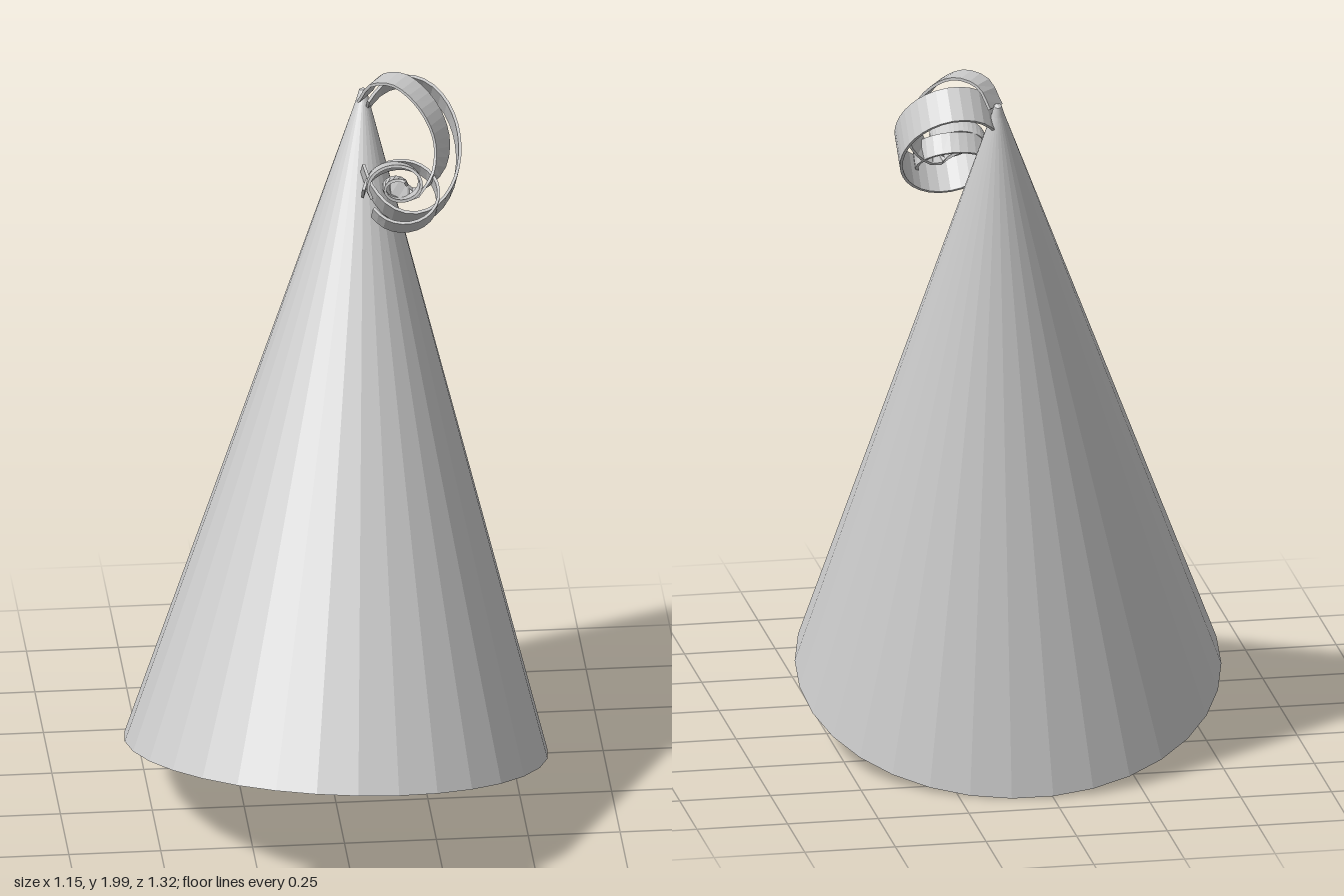
import * as THREE from 'three';

const V = (x, y, z) => new THREE.Vector3(x, y, z);
const material = new THREE.MeshStandardMaterial({ color: 0xcccccc, flatShading: true, side: THREE.DoubleSide });

// Flat strip swept along a smooth path, its width lying along the given axis
function ribbon(name, points, axis, width, steps, thickness = 0.008) {
  const curve = new THREE.CatmullRomCurve3(points);
  const positions = [], index = [];
  for (let i = 0; i <= steps; i++) {
    const p = curve.getPointAt(i / steps), t = curve.getTangentAt(i / steps);
    const side = axis.clone().addScaledVector(t, -axis.dot(t)).normalize();
    const normal = side.clone().cross(t);
    for (const [a, b] of [[1, 1], [-1, 1], [-1, -1], [1, -1]]) {
      const q = p.clone().addScaledVector(side, a * width / 2).addScaledVector(normal, b * thickness / 2);
      positions.push(q.x, q.y, q.z);
    }
  }
  for (let i = 0; i < steps; i++) {
    for (let j = 0; j < 4; j++) {
      const a = i * 4 + j, b = i * 4 + (j + 1) % 4;
      index.push(a, a + 4, b + 4, a, b + 4, b);
    }
  }
  const e = steps * 4;
  index.push(0, 1, 2, 0, 2, 3, e, e + 2, e + 1, e, e + 3, e + 2);
  const geometry = new THREE.BufferGeometry();
  geometry.setAttribute('position', new THREE.Float32BufferAttribute(positions, 3));
  geometry.setIndex(index);
  geometry.computeVertexNormals();
  const mesh = new THREE.Mesh(geometry, material);
  mesh.name = name;
  return mesh;
}

// Points of an elliptical spiral around an axis in the yz plane, angles in degrees
function spiral(center, axis, from, to, rx, ry, shrink, advance, count) {
  const up = V(0, axis.z, -axis.y);
  return Array.from({ length: count + 1 }, (_, i) => {
    const k = i / count, a = THREE.MathUtils.degToRad(from + (to - from) * k);
    const s = 1 + (shrink - 1) * k;
    return center.clone()
      .addScaledVector(axis, advance * k)
      .addScaledVector(up, ry * s * Math.sin(a))
      .add(V(rx * s * Math.cos(a), 0, 0));
  });
}

export function createModel() {
  const group = new THREE.Group();
  group.name = 'partyHat';

  // Hollow cone with a thin rim and a blunt tip, leaning back and to one side
  const profile = [[0, 0.96], [0.97, 0], [1, 0], [0.03, 0.985], [0.018, 1], [0, 1.003]]
    .map(([r, y]) => new THREE.Vector2(r, y));
  const coneGeometry = new THREE.LatheGeometry(profile, 32);
  const lean = new THREE.Matrix4().makeBasis(V(0.575, -0.037, 0), V(0.117, 1.745, -0.47), V(0, 0.17, 0.66));
  coneGeometry.applyMatrix4(lean.setPosition(0, 0.175, 0));
  const cone = new THREE.Mesh(coneGeometry, material);
  cone.name = 'cone';
  group.add(cone);

  // Ribbon bow at the tip
  const bow = new THREE.Group();
  bow.name = 'ribbonBow';

  // Wide loop hanging from the tip and sweeping under the bow
  const loopAxis = V(0, 0.67, 0.74).normalize();
  bow.add(ribbon('wideLoop',
    spiral(V(0.23, 1.79, -0.35), loopAxis, 140, -165, 0.138, 0.196, 0.97, 0, 16), loopAxis, 0.105, 28));

  // Arch rising over the tip and curling back under itself
  bow.add(ribbon('archLoop', [
    V(0.12, 1.91, -0.45), V(0.15, 1.97, -0.42), V(0.21, 1.985, -0.38), V(0.28, 1.93, -0.33),
    V(0.315, 1.84, -0.3), V(0.3, 1.76, -0.27), V(0.24, 1.71, -0.25), V(0.17, 1.73, -0.25),
  ], V(-0.55, 0, 0.84).normalize(), 0.075, 24));

  // Front loop around the small curls
  const frontAxis = V(0, 0.75, 0.66).normalize();
  bow.add(ribbon('frontLoop',
    spiral(V(0.2, 1.7, -0.24), frontAxis, 170, -150, 0.105, 0.1, 0.9, 0.02, 14), frontAxis, 0.06, 24));

  // Tight curls at the ribbon's end
  const curlAxis = V(0, 0.3, 0.95).normalize();
  bow.add(ribbon('innerCurl',
    spiral(V(0.19, 1.74, -0.25), curlAxis, -150, -690, 0.085, 0.065, 0.25, 0.07, 24), curlAxis, 0.06, 36));
  group.add(bow);
  return group;
}
